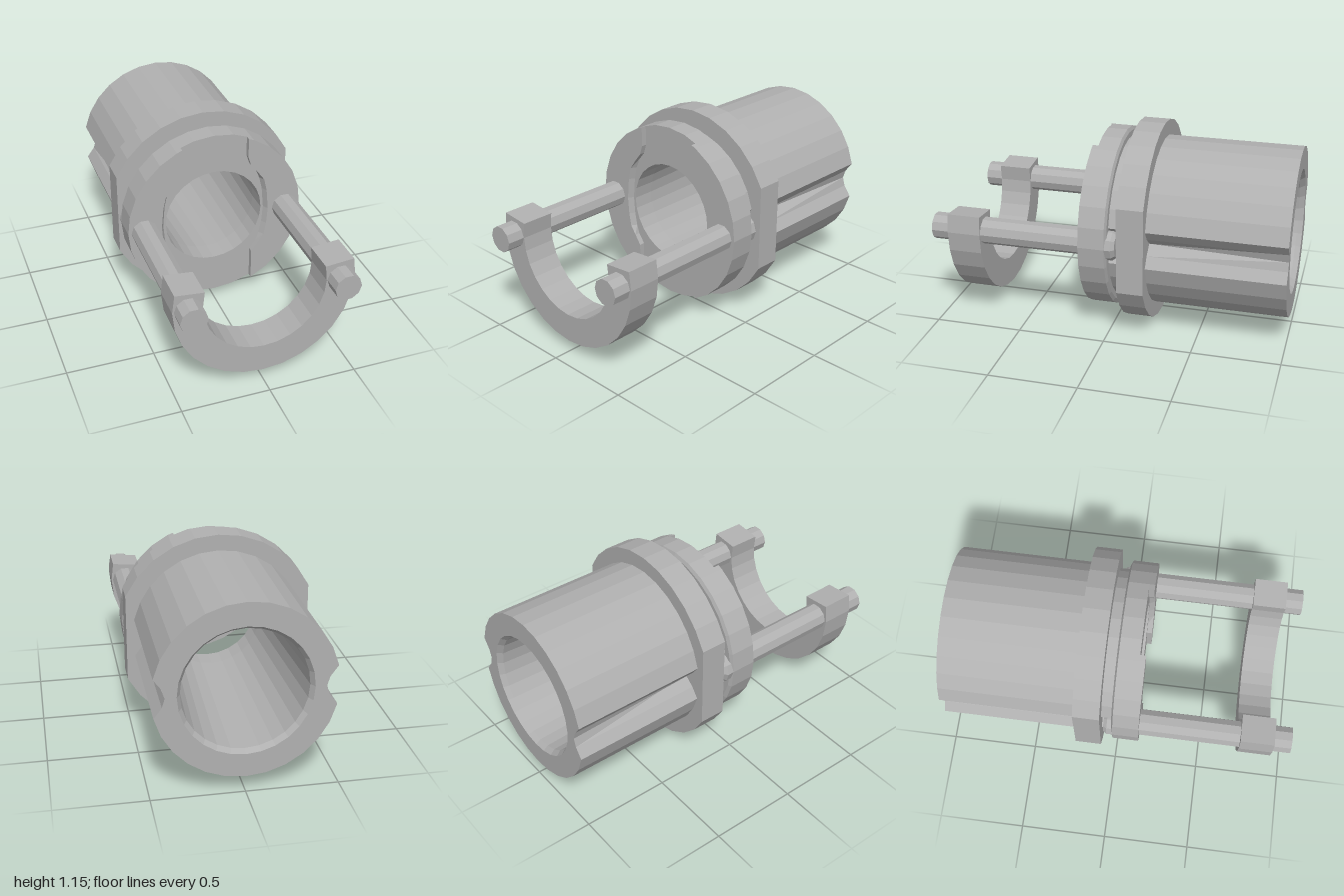
import * as THREE from 'three';

const SIDES = 28, AXIS_Y = 0.575;
const metal = new THREE.MeshStandardMaterial({ color: 0xb0b0b0 });
metal.name = 'grey metal';
const liner = new THREE.MeshStandardMaterial({ color: 0xb0b0b0, side: THREE.DoubleSide });
liner.name = 'grey metal liner';

// Point k on a 28-sided ring; k = 0 lies on +x
const ring = (r, k) => [r * Math.cos(k * 2 * Math.PI / SIDES), r * Math.sin(k * 2 * Math.PI / SIDES)];
const arc = (r, from, to) => {
  const pts = [], step = Math.sign(to - from);
  for (let k = from; k !== to + step; k += step) pts.push(ring(r, k));
  return pts;
};
const vecs = (pts) => pts.map(([x, y]) => new THREE.Vector2(x, y));

// Extrude an outline from z0 to z1, optionally with a round bore
function slab(pts, z0, z1, bore) {
  const shape = new THREE.Shape(vecs(pts));
  if (bore) shape.holes.push(new THREE.Path(vecs(arc(bore, 0, SIDES - 1))));
  return new THREE.ExtrudeGeometry(shape, { depth: z1 - z0, bevelEnabled: false }).translate(0, 0, z0);
}

// Move vertices by a rule, then restore faceted normals
function reshape(geo, rule) {
  const p = geo.attributes.position;
  for (let i = 0; i < p.count; i++) {
    const x = rule(p.getX(i), p.getY(i), p.getZ(i));
    if (x !== undefined) p.setX(i, x);
  }
  geo.computeVertexNormals();
  return geo;
}

// Faceted solid of revolution about z from [radius, z] pairs
function turned(pts, sides = SIDES) {
  const geo = new THREE.LatheGeometry(vecs(pts), sides).rotateX(Math.PI / 2).toNonIndexed();
  geo.computeVertexNormals();
  return geo;
}

// Round outline with a concave groove along each side
function grooved(r, floor) {
  const notch = [[floor + 0.015, -0.05], [floor, 0], [floor + 0.015, 0.05]];
  const flip = notch.map(([x, y]) => [-x, -y]);
  return [...notch, ...arc(r, 1, 13), ...flip, ...arc(r, 15, 27)];
}

export function createModel() {
  const group = new THREE.Group();
  const add = (name, geo, mat = metal, x = 0) => {
    const mesh = new THREE.Mesh(geo, mat);
    mesh.name = name;
    mesh.position.set(x, AXIS_Y, 0);
    group.add(mesh);
  };

  // Rear barrel: the groove floor deepens towards the flange
  const barrel = slab(grooved(0.485, 0.415), -1, -0.23, 0.355);
  add('barrel', reshape(barrel, (x, y, z) =>
    z > -0.5 && Math.abs(y) < 0.001 && Math.abs(Math.abs(x) - 0.415) < 0.002 ? Math.sign(x) * 0.37 : undefined));
  add('boreLiner', turned([[0.355, -1], [0.335, -0.97], [0.29, -0.02]]), liner);

  // Flange with flat sides, and the grooved collar in front of it
  const flangeOutline = [...arc(0.575, 2, 12), ...arc(0.575, 16, 26)];
  add('flange', slab(flangeOutline, -0.23, -0.08, 0.355));
  add('collar', slab(grooved(0.467, 0.39), -0.08, -0.02, 0.355));

  // Front disc with a chamfered rear edge
  add('frontDisc', turned([[0.29, -0.02], [0.5, -0.02], [0.52, -0.01], [0.52, 0.105], [0.29, 0.105], [0.29, -0.02]]));

  for (const s of [1, -1]) {
    const side = s > 0 ? 'left' : 'right';
    // Raised cheek whose inner wall slopes in towards the bore
    const cheek = [
      [0.195, 0.48], ...arc(0.52, 5, -5),
      [0.226, -0.28], [0.265, -0.225], [0.3, -0.175], [0.315, -0.1], [0.323, 0],
      [0.312, 0.125], [0.295, 0.2], [0.25, 0.262], [0.212, 0.31], [0.195, 0.365],
    ].map(([x, y]) => [x * s, y]);
    add(side + 'Cheek', reshape(slab(cheek, 0.105, 0.137), (x, y, z) =>
      z < 0.12 && Math.abs(x) < 0.34 && Math.abs(y) < 0.21 ? x - s * 0.018 : undefined));

    // Guide rod and its swollen rear end
    add(side + 'Rod', turned([[0, -0.04], [0.076, -0.04], [0.076, 1], [0, 1]], 10).rotateZ(Math.PI / 2), metal, s * 0.425);
    add(side + 'RodHead', turned([[0, -0.065], [0.072, -0.065], [0.088, -0.045], [0.088, 0], [0.07, 0.02], [0, 0.02]], 10)
      .rotateZ(Math.PI / 2), metal, s * 0.432);
  }

  // U-shaped yoke joining the rods
  const yoke = [[-0.335, 0.09], ...arc(0.345, 14, 28), [0.335, 0.09], [0.497, 0.105], ...arc(0.51, 28, 14), [-0.497, 0.105]];
  add('yoke', slab(yoke, 0.71, 0.9));

  return group;
}
